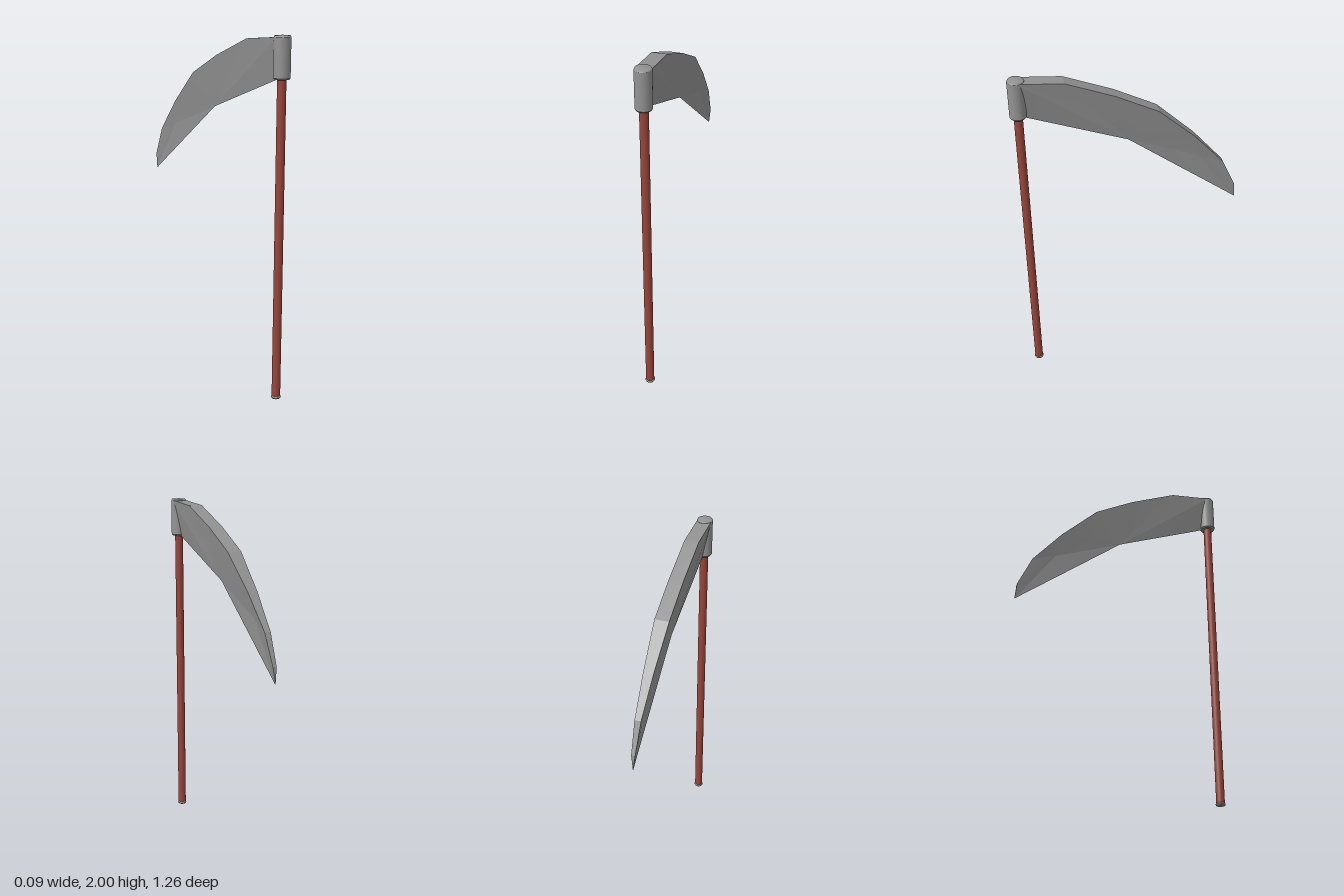
import * as THREE from 'three';
import { toCreasedNormals } from 'three/addons/utils/BufferGeometryUtils.js';

const POLE_Z = 0.585;

// Wedge blade: broad tapering spine on top, thin sharp web along the lower edge.
function bladeGeometry() {
  // spine stations: [z, y, half width]
  const spine = [
    [POLE_Z, 1.99, 0.041], [0.34, 1.97, 0.041], [0.07, 1.865, 0.041], [-0.16, 1.75, 0.041],
    [-0.37, 1.56, 0.029], [-0.54, 1.37, 0.018], [-0.62, 1.2, 0.011], [-0.63, 1.105, 0],
  ];
  const last = spine.length - 1;
  const heel = [0, 1.785, POLE_Z];
  const belly = [0, 1.57, 0];
  const at = (i, side) => [side * spine[i][2], spine[i][1], spine[i][0]];
  const pos = [];
  const tri = (a, b, c) => pos.push(...a, ...b, ...c);

  for (const side of [1, -1]) {
    const crease = [side * 0.005, 1.42, -0.4];
    const face = (a, b, c) => (side > 0 ? tri(a, b, c) : tri(a, c, b));
    // upper panel fans from the belly, then from the end of the crease to the tip
    face(heel, belly, at(0, side));
    for (let i = 0; i < last; i++) face(i < 4 ? belly : crease, at(i + 1, side), at(i, side));
    face(belly, crease, at(4, side));
    // thin web below the crease
    face(belly, at(last, side), crease);
  }
  // spine strip
  for (let i = 0; i < last; i++) {
    tri(at(i, 1), at(i + 1, 1), at(i, -1));
    if (i + 1 < last) tri(at(i + 1, 1), at(i + 1, -1), at(i, -1));
  }
  // end hidden in the socket
  tri(heel, at(0, 1), at(0, -1));

  const g = new THREE.BufferGeometry();
  g.setAttribute('position', new THREE.Float32BufferAttribute(pos, 3));
  return toCreasedNormals(g, 0.1);
}

export function createModel() {
  const model = new THREE.Group();
  const steel = new THREE.MeshStandardMaterial({ color: 0x929292, side: THREE.DoubleSide });
  const wood = new THREE.MeshStandardMaterial({ color: 0x97453a });

  const add = (name, geometry, material, y = 0, z = POLE_Z) => {
    const mesh = new THREE.Mesh(geometry, material);
    mesh.name = name;
    mesh.position.set(0, y, z);
    model.add(mesh);
  };
  const lathe = (points) =>
    new THREE.LatheGeometry(points.map(([r, y]) => new THREE.Vector2(r, y)), 32);

  // Long wooden pole
  add('pole', new THREE.CylinderGeometry(0.024, 0.024, 1.8, 32), wood, 0.91);

  // Metal ferrule at the foot
  add('footCap', lathe([
    [0, 0], [0.024, 0], [0.024, 0], [0.028, 0.008], [0.028, 0.008], [0.024, 0.016], [0, 0.016],
  ]), steel);

  // Socket holding the blade, with bevelled rims
  add('socket', lathe([
    [0, 1.775], [0.039, 1.775], [0.039, 1.775], [0.045, 1.783], [0.045, 1.783],
    [0.045, 1.988], [0.045, 1.988], [0.04, 1.997], [0, 2],
  ]), steel);

  add('blade', bladeGeometry(), steel, 0, 0);
  return model;
}
